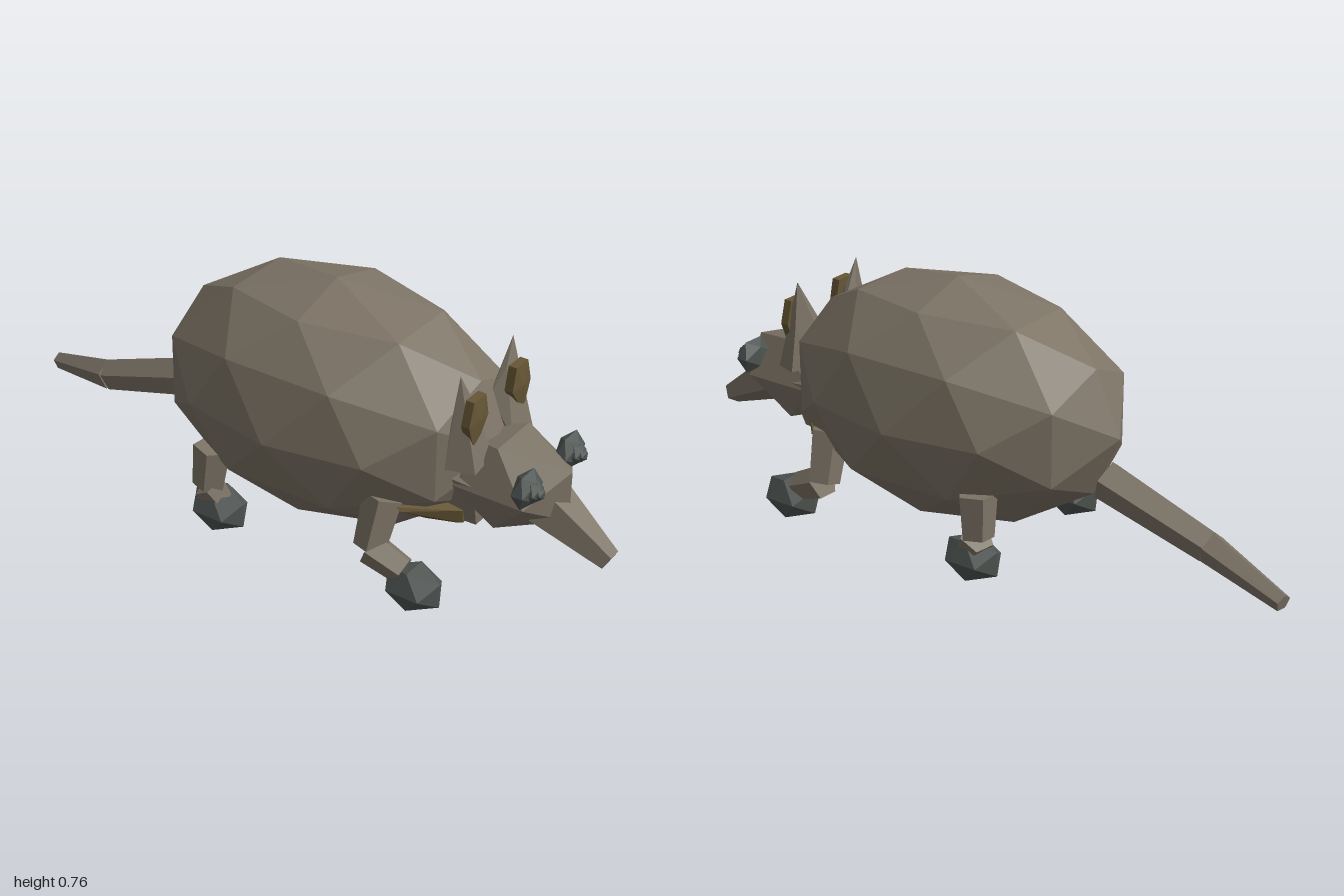
import * as THREE from 'three';
import { ConvexGeometry } from 'three/addons/geometries/ConvexGeometry.js';

const mat = (name, color) => {
  const m = new THREE.MeshStandardMaterial({ color, flatShading: true });
  m.name = name;
  return m;
};

export function createModel() {
  const hide = mat('hide taupe', 0x7d7466);
  const slate = mat('slate grey', 0x4f5552);
  const ochre = mat('dark ochre', 0x665635);
  const root = new THREE.Group();
  root.name = 'burrowingAnimal';

  const add = (name, geometry, material) => {
    const mesh = new THREE.Mesh(geometry, material);
    mesh.name = name;
    root.add(mesh);
    return mesh;
  };

  // Faceted ellipsoid
  const blob = (name, material, pos, scale, detail = 0) => {
    const mesh = add(name, new THREE.IcosahedronGeometry(1, detail), material);
    mesh.position.set(...pos);
    mesh.scale.set(...scale);
    return mesh;
  };

  // Tapered five-sided limb from a to b, with one ridge turned towards "ridge"
  const limb = (name, a, b, ra, rb, ridge) => {
    const start = new THREE.Vector3(...a), end = new THREE.Vector3(...b);
    const y = end.clone().sub(start);
    const length = y.length();
    y.normalize();
    const z = new THREE.Vector3(...ridge);
    z.addScaledVector(y, -z.dot(y)).normalize();
    const x = new THREE.Vector3().crossVectors(y, z);
    const mesh = add(name, new THREE.CylinderGeometry(rb, ra, length, 5), hide);
    mesh.quaternion.setFromRotationMatrix(new THREE.Matrix4().makeBasis(x, y, z));
    mesh.position.copy(start).add(end).multiplyScalar(0.5);
    return mesh;
  };

  // Body, head and snout
  blob('body', hide, [0, 0.41, 0.105], [0.355, 0.355, 0.545], 1);
  blob('skull', hide, [0, 0.34, 0.675], [0.157, 0.147, 0.213]);
  limb('snout', [0, 0.325, 0.735], [0, 0.187, 0.984], 0.09, 0.034, [0, -1, 0]);
  limb('neck', [0, 0.33, 0.42], [0, 0.31, 0.63], 0.16, 0.135, [0, 1, 0]);

  // Throat patch under the neck
  const throat = [];
  for (const s of [1, -1]) {
    for (const [x, y, z] of [
      [0.23, 0.278, 0.46], [0.225, 0.265, 0.47], [0.1, 0.245, 0.587],
      [0.09, 0.2, 0.585], [0.05, 0.16, 0.54], [0.09, 0.168, 0.465],
    ]) throat.push(new THREE.Vector3(x * s, y, z));
  }
  add('throatPatch', new ConvexGeometry(throat), ochre);

  // Tail
  const joint = [0, 0.174, -0.73];
  limb('tailBase', [0, 0.28, -0.4], joint, 0.06, 0.048, [0, 1, 0]);
  limb('tailTip', joint, [0.055, 0.11, -0.988], 0.047, 0.026, [0, 1, 0]);

  for (const s of [1, -1]) {
    const side = s > 0 ? 'left' : 'right';
    const m = ([x, y, z]) => [x * s, y, z];

    // Front and back legs
    for (const [part, hip, knee, ankle, foot] of [
      ['Front', [0.215, 0.29, 0.41], [0.262, 0.145, 0.4], [0.25, 0.1, 0.5], [0.247, 0.06, 0.532]],
      ['Back', [0.25, 0.26, -0.14], [0.262, 0.135, -0.15], [0.25, 0.09, -0.12], [0.247, 0.06, -0.125]],
    ]) {
      limb(side + part + 'UpperLeg', m(hip), m(knee), 0.058, 0.048, [0, 0, 1]);
      limb(side + part + 'LowerLeg', m(knee), m(ankle), 0.05, 0.042, [0, 1, 0.3]);
      blob(side + part + 'Foot', slate, m(foot), [0.073, 0.0705, 0.097]);
    }

    // Stepped eyes
    blob(side + 'Eye', slate, m([0.114, 0.4, 0.785]), [0.063, 0.057, 0.034]);
    blob(side + 'Iris', slate, m([0.114, 0.4, 0.806]), [0.036, 0.035, 0.026]);
    blob(side + 'Pupil', slate, m([0.114, 0.4, 0.822]), [0.02, 0.02, 0.018]);

    // Pointed ears, each with an inner lobe
    const ear = [
      [0.182, 0.417, 0.575], [0.15, 0.41, 0.65], [0.05, 0.42, 0.645], [0.06, 0.42, 0.53],
      [0.048, 0.53, 0.57], [0.092, 0.605, 0.592], [0.16, 0.54, 0.575], [0.133, 0.68, 0.583],
    ].map((p) => new THREE.Vector3(...m(p)));
    add(side + 'Ear', new ConvexGeometry(ear), hide);
    const lobe = [
      [0.138, 0.618], [0.078, 0.618], [0.062, 0.55], [0.095, 0.505], [0.132, 0.48], [0.158, 0.55],
    ].flatMap(([x, y]) => [0.605, 0.63].map((z) => new THREE.Vector3(x * s, y, z)));
    lobe.push(new THREE.Vector3(0.11 * s, 0.555, 0.638));
    add(side + 'InnerEar', new ConvexGeometry(lobe), ochre);
  }

  return root;
}
